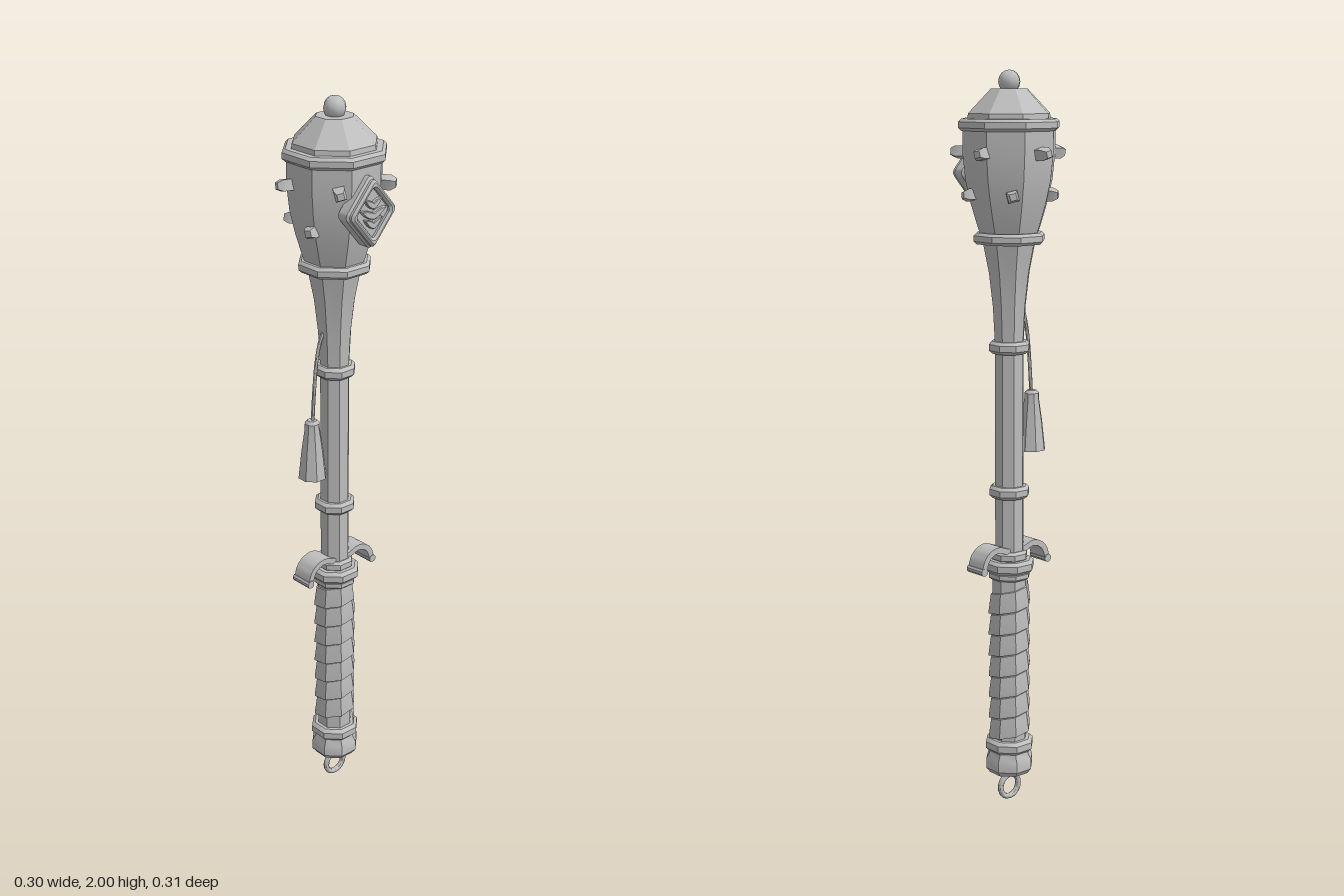
import * as THREE from 'three';
import { toCreasedNormals } from 'three/addons/utils/BufferGeometryUtils.js';

export function createModel() {
  const root = new THREE.Group();
  root.name = 'mace';
  const model = new THREE.Group();
  model.name = 'maceParts';
  model.position.z = 0.003;
  root.add(model);
  const iron = new THREE.MeshStandardMaterial({ color: 0xbebebe });
  iron.name = 'iron grey';

  const add = (name, geo, parent = model, crease = 0.55) => {
    const mesh = new THREE.Mesh(toCreasedNormals(geo, crease), iron);
    mesh.name = name;
    parent.add(mesh);
    return mesh;
  };
  // Eight-sided turned part; profile is [apothem, y] from bottom to top
  const octagon = (name, profile) => {
    const pts = profile.map(([a, y]) => new THREE.Vector2(a / Math.cos(Math.PI / 8), y));
    return add(name, new THREE.LatheGeometry(pts, 8, Math.PI / 8));
  };
  const band = (name, y0, y1, a, inner) => {
    const c = (y1 - y0) * 0.25;
    return octagon(name, [[inner, y0], [a - c, y0], [a, y0 + c], [a, y1 - c], [a - c, y1], [inner, y1]]);
  };

  // Head, cap and finial
  octagon('headBody', [[0.07, 1.57], [0.08, 1.6], [0.097, 1.66], [0.11, 1.72], [0.117, 1.79], [0.117, 1.855]]);
  band('headUpperBand', 1.846, 1.877, 0.127, 0.09);
  band('headLowerBand', 1.555, 1.585, 0.09, 0.05);
  octagon('headCap', [[0.105, 1.87], [0.103, 1.89], [0.046, 1.952], [0, 1.952]]);
  const finial = add('finial', new THREE.SphereGeometry(0.03, 8, 8), model, 1.0);
  finial.position.y = 1.97;
  finial.rotation.y = Math.PI / 8;

  // Flared neck and shaft with bands
  octagon('neck', [[0.037, 1.29], [0.042, 1.39], [0.052, 1.48], [0.069, 1.57]]);
  octagon('shaft', [[0.037, 0.68], [0.037, 1.3]]);
  band('shaftUpperBand', 1.265, 1.298, 0.052, 0.03);
  band('shaftLowerBand', 0.872, 0.905, 0.052, 0.03);

  // Two staggered rows of five studs
  const studs = new THREE.Group();
  studs.name = 'studs';
  model.add(studs);
  const studGeo = new THREE.LatheGeometry(
    [[0.02, -0.04], [0.02, -0.014], [0.012, 0], [0, 0]].map(p => new THREE.Vector2(...p)), 4);
  for (const [y, tip, turn] of [[1.79, 0.156, 0], [1.683, 0.13, 0.5]]) {
    for (let i = 0; i < 5; i++) {
      const a = Math.PI + (i + turn) * Math.PI * 0.4;
      const pivot = new THREE.Group();
      pivot.name = 'studMount';
      pivot.position.set(Math.sin(a) * tip, y, Math.cos(a) * tip);
      pivot.rotation.y = a;
      studs.add(pivot);
      const stud = add('stud', studGeo.clone(), pivot);
      stud.rotation.set(Math.PI / 2, Math.PI / 4 + 0.25, 0);
    }
  }

  // Diamond emblem on the front of the head
  const emblem = new THREE.Group();
  emblem.name = 'emblem';
  emblem.position.y = 1.735;
  model.add(emblem);
  const diamond = (s, Type = THREE.Shape) => {
    const w = 0.083 * s, h = 0.097 * s, k = 0.12;
    const shape = new Type();
    shape.moveTo(w * (1 - k), -h * k);
    [[1, 0], [0, 1], [-1, 0], [0, -1]].forEach(([x, y]) => {
      const px = x * (1 - k), py = y * (1 - k);
      shape.lineTo((px + y * k) * w, (py - x * k) * h);
      shape.quadraticCurveTo(x * w, y * h, (px - y * k) * w, (py + x * k) * h);
    });
    shape.closePath();
    return shape;
  };
  const raise = (name, shape, z0, z1, bevel) => {
    const geo = new THREE.ExtrudeGeometry(shape, {
      depth: z1 - z0 - 2 * bevel, bevelEnabled: true, bevelThickness: bevel,
      bevelSize: bevel, bevelOffset: -bevel, bevelSegments: 1, curveSegments: 4 });
    geo.translate(0, 0, z0 + bevel);
    return add(name, geo, emblem);
  };
  raise('emblemPlate', diamond(1), 0.095, 0.136, 0.006);
  const frame = diamond(0.93);
  frame.holes.push(diamond(0.68, THREE.Path));
  raise('emblemFrame', frame, 0.13, 0.149, 0.006);
  for (const [y, s] of [[-0.026, 0.8], [-0.002, 1.15], [0.024, 0.8]]) {
    const leaf = new THREE.Shape();
    leaf.moveTo(0, y - 0.014);
    leaf.quadraticCurveTo(0.022 * s, y - 0.01, 0.036 * s, y + 0.013);
    leaf.quadraticCurveTo(0.015 * s, y + 0.013, 0, y + 0.003);
    leaf.quadraticCurveTo(-0.015 * s, y + 0.013, -0.036 * s, y + 0.013);
    leaf.quadraticCurveTo(-0.022 * s, y - 0.01, 0, y - 0.014);
    raise('emblemLeaf', leaf, 0.13, 0.146, 0.002);
  }

  // Cord and tassel hanging beside the shaft
  const cord = new THREE.CatmullRomCurve3([[-0.03, 1.4], [-0.046, 1.38], [-0.062, 1.32], [-0.071, 1.24], [-0.078, 1.14]]
    .map(([x, y]) => new THREE.Vector3(x, y, 0)));
  add('cord', new THREE.TubeGeometry(cord, 14, 0.005, 6), model, 1.2);
  const tassel = octagon('tassel', [[0, 0.99], [0.036, 0.992], [0.028, 1.07], [0.019, 1.135], [0.019, 1.148], [0.012, 1.156], [0, 1.156]]);
  tassel.position.x = -0.079;

  // Curved crossguard: one ribbon profile, extruded across the shaft
  const arm = [[0, 0.722], [0.03, 0.728], [0.06, 0.738], [0.085, 0.732], [0.103, 0.715], [0.112, 0.688]];
  const half = new THREE.SplineCurve(arm.map(p => new THREE.Vector2(...p))).getPoints(14);
  const offset = (d) => half.map((p, i) => {
    const a = half[Math.max(i - 1, 0)], b = half[Math.min(i + 1, 14)];
    const t = b.clone().sub(a).normalize();
    return new THREE.Vector2(i ? p.x - t.y * d : 0, p.y + t.x * d);
  });
  const flip = (list) => list.slice(1).map(p => new THREE.Vector2(-p.x, p.y));
  const top = offset(0.008), under = offset(-0.008);
  const outline = [...flip(under).reverse(), ...under, ...top.slice().reverse(), ...flip(top)];
  const guard = new THREE.ExtrudeGeometry(new THREE.Shape(outline), { depth: 0.06, bevelEnabled: false });
  guard.translate(0, 0, -0.03);
  add('crossguard', guard);
  for (const s of [-1, 1]) {
    const curl = add('guardCurl', new THREE.CylinderGeometry(0.011, 0.011, 0.064, 10));
    curl.rotation.x = Math.PI / 2;
    curl.position.set(s * 0.113, 0.686, 0);
  }
  band('guardCollar', 0.665, 0.7, 0.064, 0.03);
  band('guardCollarTop', 0.695, 0.725, 0.047, 0.03);
  band('guardCollarBase', 0.645, 0.668, 0.054, 0.03);

  // Grip core and its spiral wrap
  octagon('gripCore', [[0.045, 0.17], [0.045, 0.66]]);
  const section = [[0.042, 0], [0.055, 0.002], [0.055, 0.01], [0.049, 0.057], [0.042, 0.059]];
  const pos = [], idx = [], n = section.length, steps = 8 * 7, pitch = 0.06;
  for (let i = 0; i <= steps; i++) {
    const t = Math.PI / 8 + i * Math.PI / 4;
    for (const [a, dy] of section) {
      const r = a / Math.cos(Math.PI / 8);
      pos.push(Math.sin(t) * r, 0.178 + i * pitch / 8 + dy, Math.cos(t) * r);
    }
    if (i === steps) break;
    for (let j = 0; j < n - 1; j++) {
      const a = i * n + j, b = a + n;
      idx.push(a, b, a + 1, b, b + 1, a + 1);
    }
  }
  const wrap = new THREE.BufferGeometry();
  wrap.setAttribute('position', new THREE.Float32BufferAttribute(pos, 3));
  wrap.setIndex(idx);
  add('gripWrap', wrap, model, 0.3);

  // Pommel and hanging ring
  octagon('pommel', [[0, 0.086], [0.052, 0.086], [0.062, 0.1], [0.062, 0.128], [0.053, 0.145], [0.053, 0.165]]);
  band('pommelBand', 0.15, 0.186, 0.063, 0.03);
  octagon('ringStub', [[0, 0.074], [0.012, 0.074], [0.016, 0.09]]);
  const ring = add('hangingRing', new THREE.TorusGeometry(0.032, 0.008, 8, 20), model, 1.2);
  ring.position.y = 0.04;

  return root;
}
